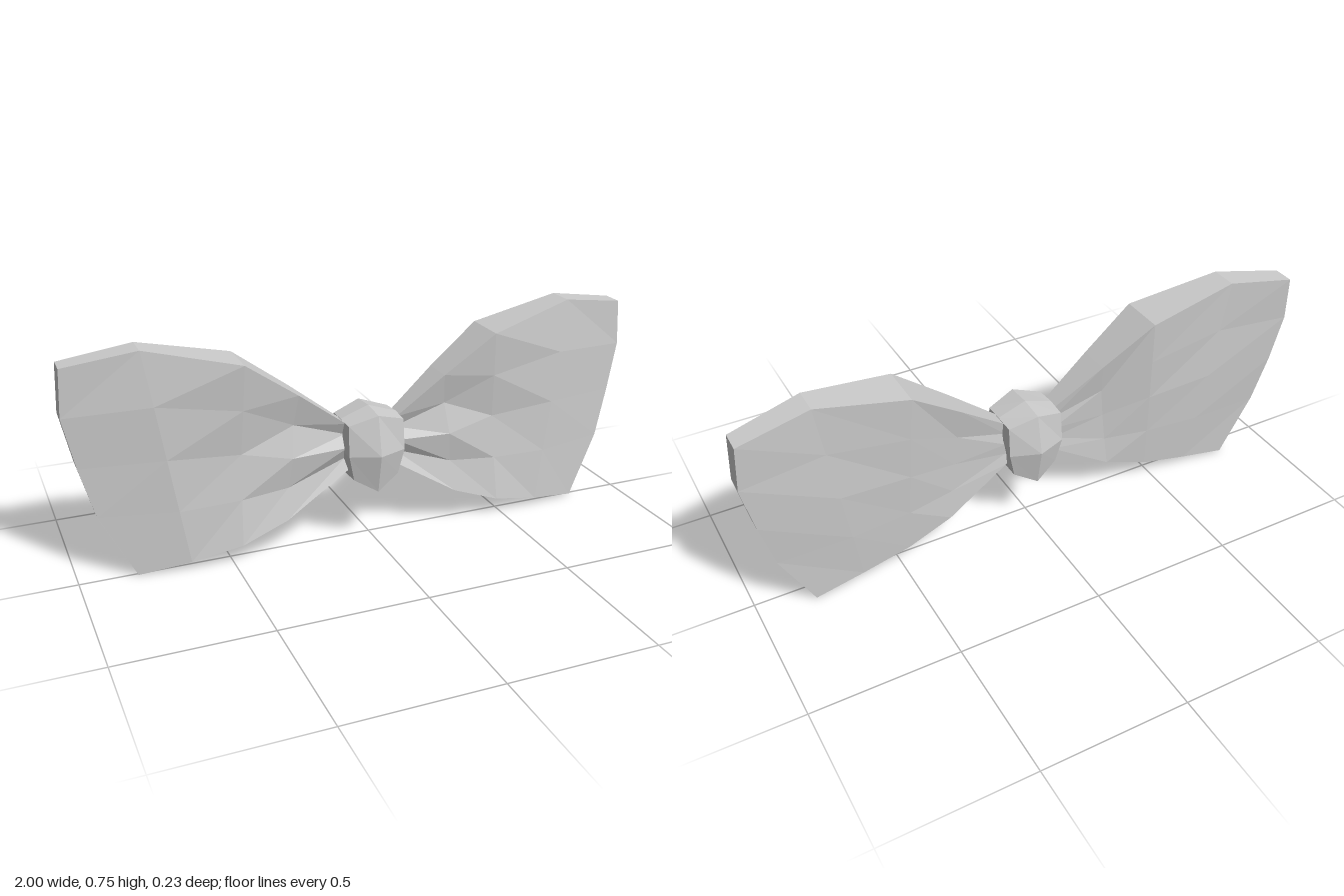
import * as THREE from 'three';

// Skin closed rings that advance along +x; each ring runs down the front and up the back.
function loft(rings, mirror = false) {
  const pos = [];
  const n = rings[0].length;
  const tri = (a, b, c) => {
    for (const p of mirror ? [a, c, b] : [a, b, c]) pos.push(mirror ? -p[0] : p[0], p[1], p[2]);
  };
  const quad = (a, b, c, d) => { tri(a, b, c); tri(a, c, d); };
  for (let r = 0; r < rings.length - 1; r++) {
    for (let i = 0; i < n; i++) {
      const j = (i + 1) % n;
      quad(rings[r][i], rings[r][j], rings[r + 1][j], rings[r + 1][i]);
    }
  }
  // End caps, as strips between front and back
  const first = rings[0], last = rings[rings.length - 1];
  for (let i = 0; i < n / 2 - 1; i++) {
    quad(last[i], last[i + 1], last[n - 2 - i], last[n - 1 - i]);
    quad(first[n - 1 - i], first[n - 2 - i], first[i + 1], first[i]);
  }
  const g = new THREE.BufferGeometry();
  g.setAttribute('position', new THREE.Float32BufferAttribute(pos, 3));
  g.computeVertexNormals();
  return g;
}

// Wing columns from knot to outer edge: top and bottom corner, front and back depth per row
const columns = [
  { top: [0.03, 0.42], bottom: [0.03, 0.28], front: [0.02, 0.01, 0.02, 0.01, 0.02], back: [-0.02, -0.02, -0.02, -0.02, -0.02] },
  { top: [0.09, 0.43], bottom: [0.09, 0.26], front: [0.03, 0.012, 0.034, 0.012, 0.03], back: [-0.03, -0.025, -0.03, -0.025, -0.03] },
  { top: [0.26, 0.56], bottom: [0.31, 0.125], front: [0.047, 0.022, 0.045, 0.028, 0.05], back: [-0.065, -0.045, -0.04, -0.04, -0.045] },
  { top: [0.44, 0.69], bottom: [0.47, 0.07], front: [0.065, 0.05, 0.032, 0.045, 0.065], back: [-0.095, -0.085, -0.075, -0.065, -0.055] },
  { top: [0.75, 0.76], bottom: [0.64, 0.035], front: [0.005, 0.025, 0.03, 0.035, 0.045], back: [-0.09, -0.085, -0.085, -0.075, -0.06] },
  { edge: [[0.99, 0.72], [1, 0.56], [0.965, 0.39], [0.92, 0.22], [0.81, 0.005]],
    front: [-0.035, -0.035, -0.028, -0.015, 0.01], back: [-0.11, -0.1, -0.09, -0.075, -0.065] },
];

function wingRings() {
  return columns.map(({ top, bottom, edge, front, back }) => {
    const at = (i) => edge ? edge[i] : [0, 1].map((k) => top[k] + (bottom[k] - top[k]) * i / 4);
    const f = front.map((z, i) => [...at(i), z]);
    const b = back.map((z, i) => [...at(i), z]).reverse();
    return [...f, ...b];
  });
}

// Knot: a faceted band, ridged at the middle and narrower at both sides
function knotRings() {
  const ridge = [[0.475, 0], [0.467, 0.09], [0.33, 0.118], [0.193, 0.09],
    [0.178, 0], [0.193, -0.09], [0.33, -0.117], [0.467, -0.09]];
  const side = [[0.44, 0, 0.1], [0.436, 0.07, 0.098], [0.33, 0.08, 0.1], [0.24, 0.07, 0.08],
    [0.235, 0, 0.078], [0.24, -0.07, 0.08], [0.33, -0.08, 0.1], [0.436, -0.07, 0.098]];
  const sideRing = (s) => side.map(([y, z, x]) => [s * x, y, z]);
  return [sideRing(-1), ridge.map(([y, z]) => [0, y, z]), sideRing(1)];
}

export function createModel() {
  const group = new THREE.Group();
  group.name = 'bowTie';
  const material = new THREE.MeshStandardMaterial({ color: 0xcccccc, flatShading: true });
  const add = (name, geometry) => {
    const mesh = new THREE.Mesh(geometry, material);
    mesh.name = name;
    group.add(mesh);
  };
  add('leftWing', loft(wingRings()));
  add('rightWing', loft(wingRings(), true));
  add('knot', loft(knotRings()));
  return group;
}
